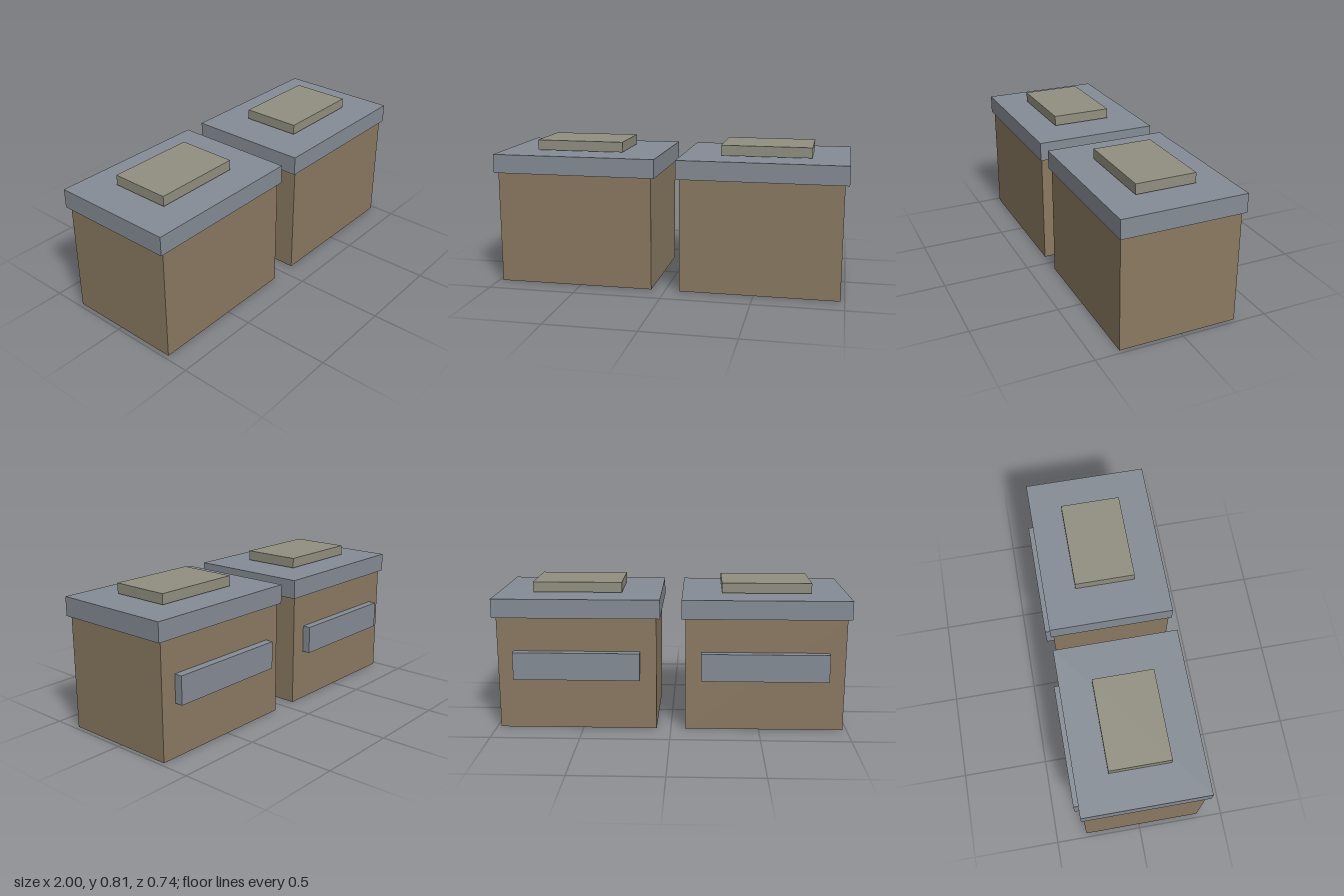
import * as THREE from 'three';

const material = (name, color) => {
  const m = new THREE.MeshStandardMaterial({ color });
  m.name = name;
  return m;
};

// Box given by its lower and upper limits on each axis
function block(name, mat, [x0, x1], [y0, y1], [z0, z1]) {
  const mesh = new THREE.Mesh(new THREE.BoxGeometry(x1 - x0, y1 - y0, z1 - z0), mat);
  mesh.position.set((x0 + x1) / 2, (y0 + y1) / 2, (z0 + z1) / 2);
  mesh.name = name;
  return mesh;
}

export function createModel() {
  const brown = material('brown', 0x8a7961);
  const blueGrey = material('blueGrey', 0x858c95);
  const oliveGrey = material('oliveGrey', 0x918f80);

  const model = new THREE.Group();
  model.name = 'twinPouches';

  // Two mirrored pouches side by side
  for (const side of [1, -1]) {
    const span = (a, b) => (side > 0 ? [a, b] : [-b, -a]);
    const pouch = new THREE.Group();
    pouch.name = side > 0 ? 'leftPouch' : 'rightPouch';
    pouch.add(
      block('body', brown, span(0.081, 0.977), [0, 0.644], [-0.322, 0.356]),
      block('lid', blueGrey, span(0.06, 1), [0.644, 0.751], [-0.337, 0.368]),
      // Pad hovers just above the lid
      block('lidPad', oliveGrey, span(0.285, 0.794), [0.757, 0.815], [-0.154, 0.188]),
      // Strap bar on the back
      block('backBar', blueGrey, span(0.173, 0.885), [0.296, 0.453], [-0.368, -0.322]),
    );
    model.add(pouch);
  }
  return model;
}
